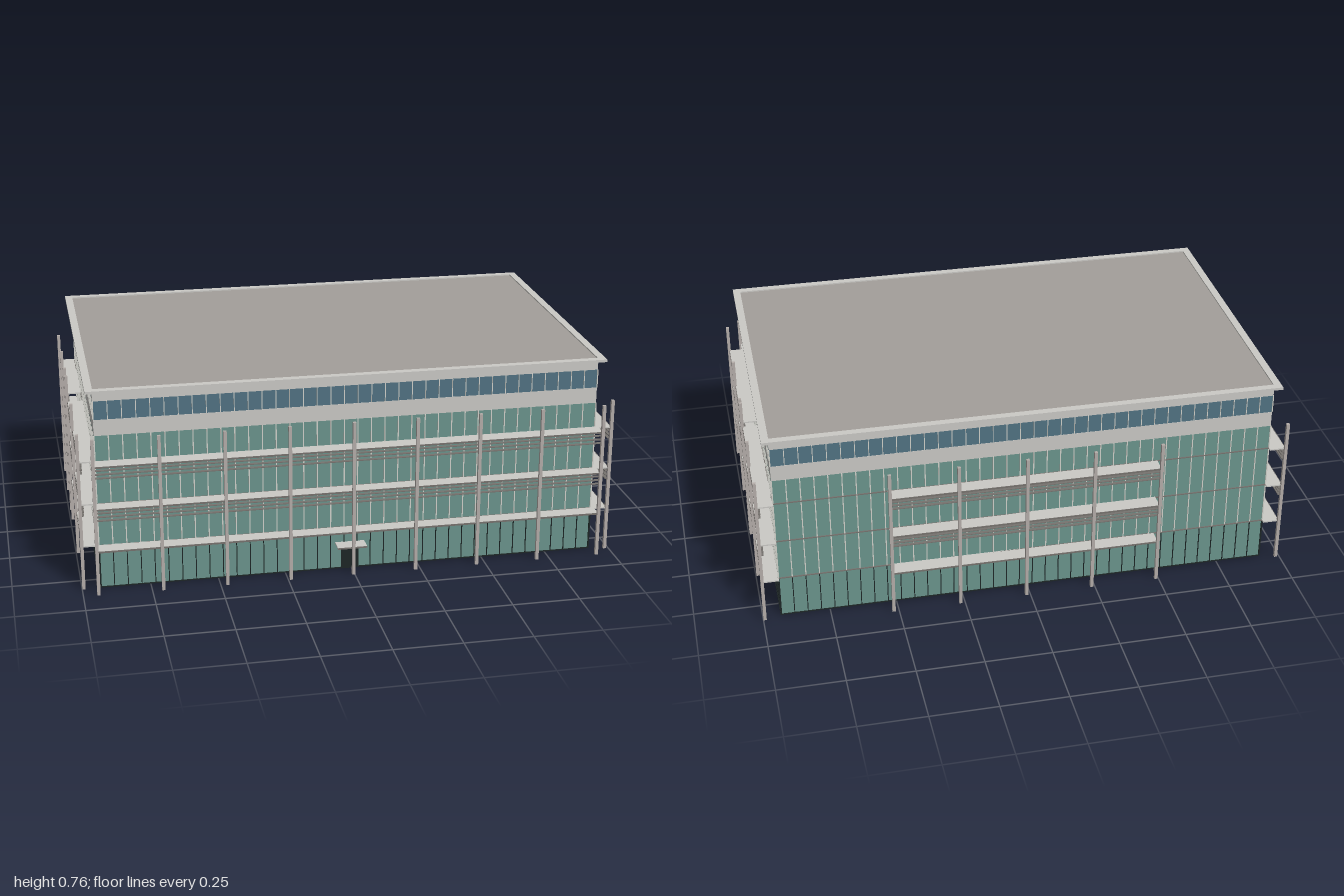
import * as THREE from 'three';

const paint = (name, hex) => {
  const m = new THREE.MeshStandardMaterial({ color: hex });
  m.name = name;
  return m;
};

export function createModel() {
  const teal = paint('teal glass', 0x6b958d);
  const blue = paint('blue glass', 0x527383);
  const pale = paint('pale cladding', 0xcbcac6);
  const white = paint('light mullion', 0xd2d3cc);
  const dark = paint('dark frame', 0x1d2626);
  const steel = paint('grey steel', 0x77736f);
  const post = paint('post metal', 0xb5aeaa);
  const roof = paint('roof felt', 0xa39f9a);

  const model = new THREE.Group();
  model.name = 'officeBuilding';

  // Box given by its extents on each axis
  const box = (parent, name, mat, x0, x1, y0, y1, z0, z1) => {
    const mesh = new THREE.Mesh(new THREE.BoxGeometry(x1 - x0, y1 - y0, z1 - z0), mat);
    mesh.position.set((x0 + x1) / 2, (y0 + y1) / 2, (z0 + z1) / 2);
    mesh.name = name;
    parent.add(mesh);
    return mesh;
  };

  const W = 0.928, D = 0.576, OUT = 0.062;
  const LEVELS = [0.167, 0.33, 0.493];

  // Shading balcony: three shelves with thin slats below and a row of posts in front
  const balcony = (side, u0, u1, bays) => {
    const g = new THREE.Group();
    g.name = 'sunshadeBalcony';
    side.add(g);
    LEVELS.forEach((y, i) => {
      box(g, 'shelf', pale, u0, u1, y - 0.003, y + 0.002, 0, OUT - 0.002);
      box(g, 'shelfEdge', steel, u0, u1, y - 0.004, y + 0.0025, OUT - 0.002, OUT);
      if (i > 0) {
        for (let s = 1; s <= 3; s++) {
          const y1 = y - s * 0.0145;
          box(g, 'slat', steel, u0, u1, y1 - 0.0015, y1 + 0.0015, OUT - 0.014, OUT - 0.002);
        }
      }
    });
    for (let i = 0; i <= bays; i++) {
      const u = u0 + (u1 - u0) * i / bays;
      box(g, 'post', post, u - 0.006, u + 0.006, 0, 0.6, OUT - 0.006, OUT + 0.006);
    }
  };

  // One wall: local x runs along it, local +z points outwards
  const facade = (name, half, dist, yaw, panes, balconies) => {
    const side = new THREE.Group();
    side.name = name;
    side.rotation.y = yaw;
    side.position.set(Math.sin(yaw) * dist, 0, Math.cos(yaw) * dist);
    model.add(side);
    const T = -0.004;
    box(side, 'mainGlazing', teal, -half, half, 0, 0.59, T, 0);
    box(side, 'lowerBand', pale, -half, half, 0.59, 0.65, T, 0.001);
    box(side, 'topWindows', blue, -half, half, 0.65, 0.72, T, 0);
    box(side, 'upperBand', pale, -half, half, 0.72, 0.756, T, 0.001);
    box(side, 'sill', dark, -half, half, 0, 0.004, T, 0.003);
    for (const y of LEVELS) {
      box(side, 'transom', steel, -half, half, y - 0.002, y + 0.002, T - 0.002, 0.004);
    }
    // Window bars, dark on the ground floor and light above
    for (let i = 0; i <= panes; i++) {
      const u = -half + 2 * half * i / panes;
      const end = i === 0 || i === panes;
      const w = end ? 0.003 : 0.0016;
      box(side, 'groundMullion', dark, u - w, u + w, 0, 0.165, 0, 0.003);
      box(side, 'mullion', white, u - 0.002, u + 0.002, 0.169, 0.59, 0, 0.003);
      box(side, 'topMullion', white, u - 0.0015, u + 0.0015, 0.65, 0.72, 0, 0.003);
    }
    for (const [u0, u1, bays] of balconies) balcony(side, u0, u1, bays);
    return side;
  };

  const front = facade('frontWall', W, D, 0, 37, [[-0.94, 0.94, 8]]);
  facade('leftWall', D, W, Math.PI / 2, 23, [[-0.588, -0.006, 2], [0.026, 0.593, 2]]);
  facade('backWall', W, D, Math.PI, 37, [[-0.515, 0.495, 4]]);
  facade('rightWall', D, W, -Math.PI / 2, 23, [[-0.593, -0.168, 2], [-0.07, 0.578, 2]]);

  // Entrance door and canopy
  const entrance = new THREE.Group();
  entrance.name = 'entrance';
  front.add(entrance);
  box(entrance, 'door', dark, -0.036, 0.03, 0, 0.09, 0, 0.006);
  box(entrance, 'canopy', pale, -0.058, 0.052, 0.1, 0.106, 0, 0.055);
  box(entrance, 'canopyEdge', steel, -0.058, 0.052, 0.1, 0.106, 0.055, 0.057);

  // Roof deck with a raised rim overhanging the walls
  box(model, 'roofDeck', roof, -0.93, 0.93, 0.752, 0.76, -0.578, 0.578);
  const rim = new THREE.Shape([[-0.955, -0.6], [0.955, -0.6], [0.955, 0.6], [-0.955, 0.6]]
    .map(([x, y]) => new THREE.Vector2(x, y)));
  rim.holes.push(new THREE.Path([[-0.927, -0.573], [-0.927, 0.573], [0.927, 0.573], [0.927, -0.573]]
    .map(([x, y]) => new THREE.Vector2(x, y))));
  const rimGeo = new THREE.ExtrudeGeometry(rim, { depth: 0.01, bevelEnabled: false });
  rimGeo.rotateX(-Math.PI / 2);
  const rimMesh = new THREE.Mesh(rimGeo, pale);
  rimMesh.position.y = 0.755;
  rimMesh.name = 'roofRim';
  model.add(rimMesh);

  // The plan is turned very slightly
  model.rotation.y = -0.0065;
  const root = new THREE.Group();
  root.name = 'building';
  root.add(model);
  return root;
}
